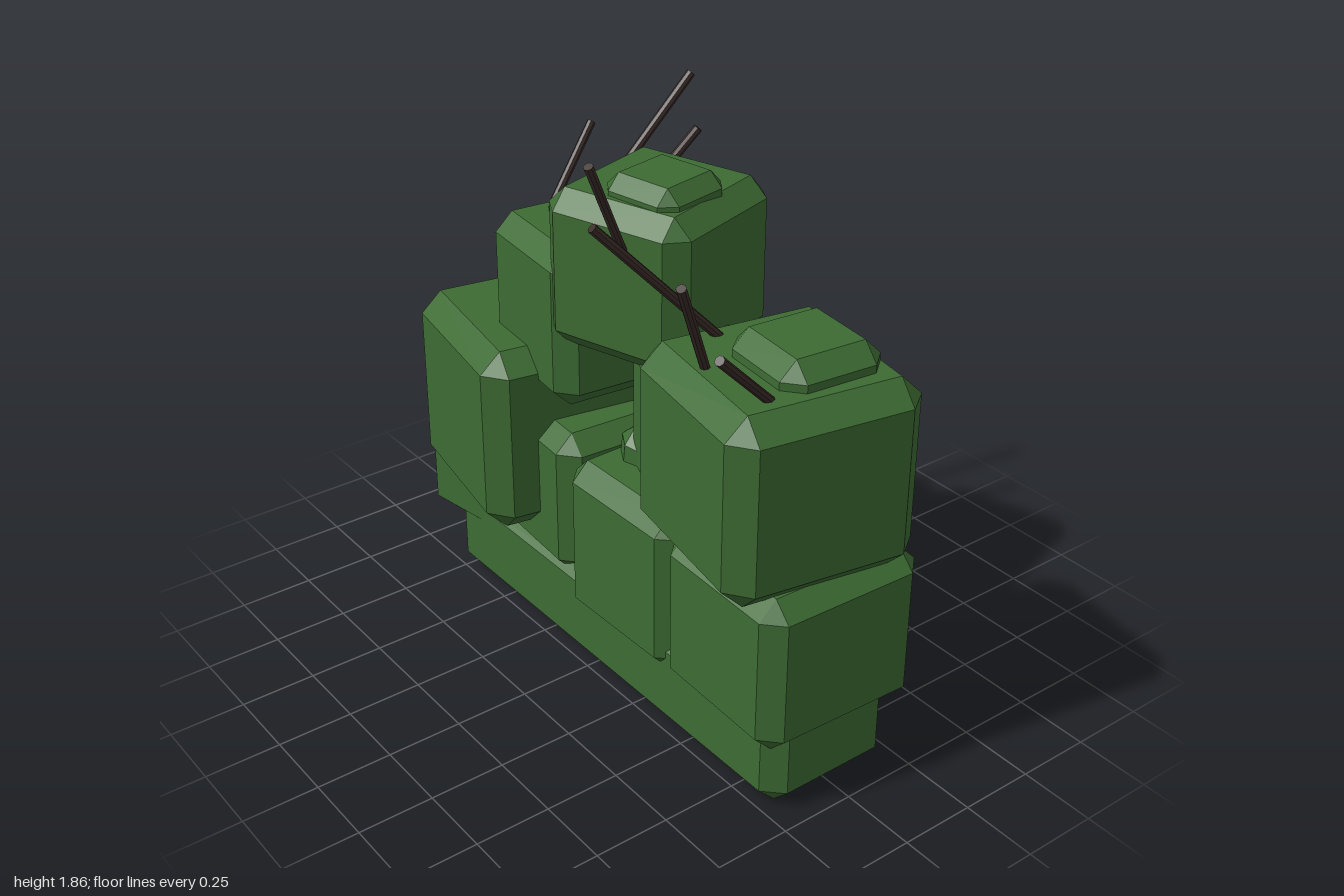
import * as THREE from 'three';
import { ConvexGeometry } from 'three/addons/geometries/ConvexGeometry.js';

const leafMat = new THREE.MeshStandardMaterial({ color: 0x3d6b33, flatShading: true });
const twigMat = new THREE.MeshStandardMaterial({ color: 0x3a2c28, flatShading: true });

// Box with flat chamfers of width b on every edge
function chamferBox(w, h, d, b) {
  const pts = [];
  for (const sx of [-1, 1]) for (const sy of [-1, 1]) for (const sz of [-1, 1]) {
    const x = w / 2, y = h / 2, z = d / 2;
    pts.push(new THREE.Vector3(sx * x, sy * (y - b), sz * (z - b)));
    pts.push(new THREE.Vector3(sx * (x - b), sy * y, sz * (z - b)));
    pts.push(new THREE.Vector3(sx * (x - b), sy * (y - b), sz * z));
  }
  return new ConvexGeometry(pts);
}

export function createModel() {
  const model = new THREE.Group();

  // One chamfered foliage block, standing from y0 to y1, turned about y by deg
  function block(name, x, z, y0, y1, w, d, deg, b = 0.06) {
    const mesh = new THREE.Mesh(chamferBox(w, y1 - y0, d, b), leafMat);
    mesh.name = name;
    mesh.position.set(x, (y0 + y1) / 2, z);
    mesh.rotation.y = THREE.MathUtils.degToRad(deg);
    model.add(mesh);
    return mesh;
  }

  // Thin twig between two points
  function twig(name, a, b) {
    const from = new THREE.Vector3(...a), to = new THREE.Vector3(...b);
    const dir = to.clone().sub(from);
    const mesh = new THREE.Mesh(new THREE.CylinderGeometry(0.015, 0.015, dir.length(), 8), twigMat);
    mesh.name = name;
    mesh.position.copy(from).add(to).multiplyScalar(0.5);
    mesh.quaternion.setFromUnitVectors(new THREE.Vector3(0, 1, 0), dir.normalize());
    model.add(mesh);
  }

  // Long hedge base
  block('hedgeBase', 0.065, 0.008, 0, 0.36, 1.73, 0.475, 0);

  // Lower row of leaf blocks
  block('lowerLeftBlock', 0.69, -0.012, 0.225, 0.755, 0.54, 0.58, -2);
  block('lowerMiddleBlock', 0.18, -0.02, 0.215, 0.77, 0.53, 0.59, 1);
  block('lowerInnerBlock', -0.31, -0.035, 0.28, 0.8, 0.48, 0.55, -4);
  block('lowerRightBlock', -0.7, -0.01, 0.19, 0.72, 0.53, 0.53, 9);

  // Upper leaf blocks
  block('upperRightBlock', -0.55, 0.03, 0.4, 1.05, 0.645, 0.645, -10, 0.07);
  block('upperInnerBlock', -0.31, -0.045, 0.9, 1.43, 0.48, 0.55, -6);
  block('upperMiddleBlock', 0.31, -0.05, 0.7, 1.2, 0.46, 0.46, -20);
  block('upperLeftBlock', 0.65, 0.03, 0.74, 1.35, 0.625, 0.625, -10, 0.07);
  block('topBlock', 0, -0.04, 1.14, 1.65, 0.515, 0.515, 17);

  // Small caps on the blocks
  block('upperRightCap', -0.52, 0, 0.98, 1.14, 0.3, 0.3, -20, 0.05);
  block('upperInnerCap', -0.36, -0.05, 1.36, 1.49, 0.23, 0.23, 20, 0.045);
  block('upperMiddleCap', 0.3, -0.05, 1.12, 1.25, 0.24, 0.24, -35, 0.045);
  block('upperLeftCap', 0.695, -0.025, 1.26, 1.43, 0.34, 0.34, -6, 0.055);
  block('topCap', 0.07, -0.01, 1.58, 1.71, 0.28, 0.28, 11, 0.045);
  const lowCap = block('lowerMiddleCap', 0.1, -0.02, 0.7, 0.87, 0.27, 0.27, 15, 0.05);
  lowCap.rotation.z = -0.1;

  // Twigs: tip, root
  const twigs = [
    [[-0.79, 1.53, -0.36], [-0.73, 1.17, -0.07]],
    [[-0.365, 1.8, -0.45], [-0.405, 1.45, -0.13]],
    [[-0.17, 1.7, -0.325], [-0.21, 1.58, -0.23]],
    [[0.195, 1.85, 0.35], [0.13, 1.51, 0.18]],
    [[0.335, 1.74, 0.44], [0.435, 1.33, 0.06]],
    [[0.66, 1.67, 0.39], [0.56, 1.33, 0.22]],
    [[0.87, 1.56, 0.43], [0.81, 1.34, 0.2]],
  ];
  twigs.forEach(([tip, root], i) => twig('twig' + (i + 1), root, tip));

  return model;
}
